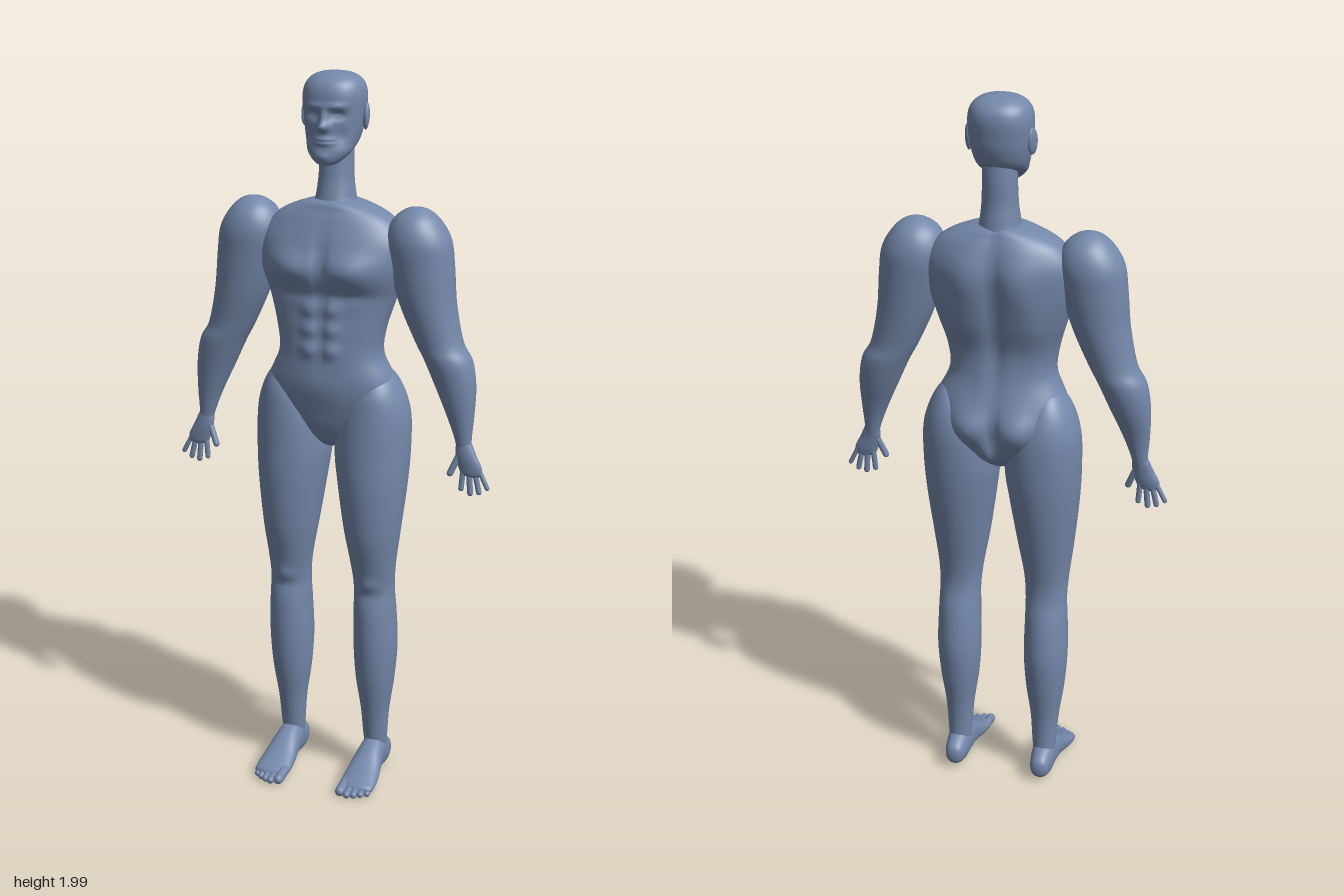
import * as THREE from 'three';

const skin = new THREE.MeshStandardMaterial({ color: 0x7488aa });
skin.name = 'slate blue';

const spow = (v, p) => Math.sign(v) * Math.pow(Math.abs(v), p);
const spline = (a, b, c, d, t) =>
  0.5 * (2 * b + (c - a) * t + (2 * a - 5 * b + 4 * c - d) * t * t + (3 * b - a - 3 * c + d) * t * t * t);

// Smooth closed loft through slices [y, xMin, xMax, zBack, zFront].
// bumps: [face (+1 front, -1 back), |x|, y, radiusX, radiusY, height]
function loft(slices, { side = 1, power = 1, bumps = [], segs = 48, steps = 6 } = {}) {
  const pos = [], idx = [], last = slices.length - 1, rows = last * steps;
  for (let i = 0; i <= rows; i++) {
    const k = Math.min(Math.floor(i / steps), last - 1), t = i / steps - k;
    const at = n => slices[Math.max(0, Math.min(last, n))];
    const [y, x0, x1, zb, zf] = slices[0].map((_, c) => spline(at(k - 1)[c], at(k)[c], at(k + 1)[c], at(k + 2)[c], t));
    const hw = Math.max(0.0003, (x1 - x0) / 2), hd = Math.max(0.0003, (zf - zb) / 2);
    for (let j = 0; j < segs; j++) {
      const a = j / segs * Math.PI * 2, s = Math.sin(a);
      const x = side * (x0 + x1) / 2 + hw * spow(Math.cos(a), power);
      let z = (zb + zf) / 2 + hd * spow(s, power);
      for (const [f, bx, by, rx, ry, h] of bumps)
        if (f * s > 0) z += f * h * Math.min(1, Math.abs(s) * 1.5) * Math.exp(-(((Math.abs(x) - bx) / rx) ** 2) - ((y - by) / ry) ** 2);
      pos.push(x, y, z);
      if (i < rows) {
        const p = i * segs + j, q = i * segs + (j + 1) % segs;
        idx.push(p, p + segs, q, q, p + segs, q + segs);
      }
    }
  }
  const g = new THREE.BufferGeometry();
  g.setAttribute('position', new THREE.Float32BufferAttribute(pos, 3));
  g.setIndex(idx);
  g.computeVertexNormals();
  return g;
}

// Slices of a part centred on x = 0: [y, halfWidth, zBack, zFront]
const centred = rows => rows.map(([y, w, b, f]) => [y, -w, w, b, f]);

function add(parent, name, geometry) {
  const m = new THREE.Mesh(geometry, skin);
  m.name = name;
  parent.add(m);
  return m;
}

// Rounded digit between two points
function digit(parent, name, a, b, r) {
  const A = new THREE.Vector3(...a), B = new THREE.Vector3(...b), d = B.clone().sub(A);
  const m = add(parent, name, new THREE.CapsuleGeometry(r, d.length(), 6, 12));
  m.position.copy(A).add(B).multiplyScalar(0.5);
  m.quaternion.setFromUnitVectors(new THREE.Vector3(0, 1, 0), d.normalize());
}

const torso = centred([
  [0.975, 0, -0.05, -0.045], [0.987, 0.03, -0.09, 0], [1.03, 0.09, -0.128, 0.035], [1.1, 0.16, -0.14, 0.055],
  [1.17, 0.178, -0.132, 0.065], [1.25, 0.146, -0.115, 0.066], [1.32, 0.152, -0.112, 0.062], [1.4, 0.175, -0.13, 0.058],
  [1.48, 0.2, -0.142, 0.07], [1.55, 0.205, -0.146, 0.06], [1.6, 0.18, -0.138, 0.042], [1.635, 0.135, -0.125, 0.026],
  [1.66, 0.06, -0.108, 0.01], [1.664, 0, -0.06, -0.05]]);
const torsoBumps = [
  // chest, breastbone, rib edge
  [1, 0.08, 1.49, 0.065, 0.045, 0.022], [1, 0, 1.5, 0.012, 0.09, -0.01], [1, 0.08, 1.42, 0.08, 0.018, -0.006],
  // abdominal rows and lower belly
  ...[1.38, 1.325, 1.27].map(y => [1, 0.032, y, 0.022, 0.021, 0.01]),
  [1, 0, 1.17, 0.06, 0.05, 0.006], [1, 0, 1.32, 0.008, 0.09, -0.005],
  // spine, shoulder blades, back wings
  [-1, 0, 1.42, 0.022, 0.2, -0.014], [-1, 0.07, 1.53, 0.055, 0.08, 0.016], [-1, 0.1, 1.41, 0.05, 0.09, 0.008],
  // buttocks and cleft
  [-1, 0.07, 1.11, 0.058, 0.055, 0.026], [-1, 0, 1.08, 0.014, 0.06, -0.02]];

const neck = centred([[1.6, 0.05, -0.1, -0.01], [1.64, 0.062, -0.112, 0.005], [1.67, 0.054, -0.11, 0],
  [1.72, 0.048, -0.104, -0.01], [1.78, 0.046, -0.104, -0.015], [1.83, 0.046, -0.1, -0.02]]);

const head = centred([
  [1.757, 0, 0.014, 0.02], [1.764, 0.028, -0.012, 0.038], [1.79, 0.056, -0.055, 0.042], [1.82, 0.069, -0.1, 0.038],
  [1.86, 0.078, -0.12, 0.034], [1.9, 0.083, -0.127, 0.034], [1.94, 0.084, -0.13, 0.034], [1.97, 0.074, -0.12, 0.022],
  [1.99, 0.047, -0.092, -0.006], [1.998, 0, -0.045, -0.042]]);
const headBumps = [
  // nose bridge and tip, brows, eye sockets
  [1, 0, 1.88, 0.011, 0.025, 0.014], [1, 0, 1.86, 0.015, 0.012, 0.02], [1, 0.03, 1.912, 0.03, 0.01, 0.006],
  [1, 0.034, 1.89, 0.018, 0.012, -0.012], [1, 0.034, 1.888, 0.01, 0.006, 0.004],
  // lips, mouth line, chin, cheeks
  [1, 0, 1.823, 0.024, 0.011, 0.009], [1, 0, 1.823, 0.024, 0.003, -0.005], [1, 0, 1.782, 0.02, 0.013, 0.006],
  [1, 0.045, 1.835, 0.018, 0.02, -0.006]];

const arm = [
  [1.0, 0.362, 0.404, -0.038, -0.012], [1.04, 0.353, 0.4, -0.046, -0.008], [1.1, 0.33, 0.404, -0.06, 0],
  [1.18, 0.294, 0.405, -0.085, 0.012], [1.25, 0.262, 0.393, -0.1, 0.022], [1.3, 0.235, 0.366, -0.1, 0.022],
  [1.4, 0.19, 0.345, -0.11, 0.032], [1.5, 0.16, 0.336, -0.12, 0.038], [1.57, 0.15, 0.326, -0.123, 0.04],
  [1.62, 0.168, 0.297, -0.105, 0.022], [1.648, 0.2, 0.265, -0.07, -0.012], [1.656, 0.232, 0.232, -0.041, -0.041]];

const palm = [[0.935, 0.405, 0.405, -0.022, -0.021], [0.943, 0.378, 0.43, -0.029, -0.012], [0.965, 0.366, 0.432, -0.034, -0.009],
  [0.995, 0.358, 0.417, -0.037, -0.008], [1.025, 0.358, 0.403, -0.041, -0.01], [1.05, 0.365, 0.39, -0.035, -0.015]];

// [base x, base y, tip x, tip y, radius]
const fingers = [[0.365, 0.99, 0.346, 0.944, 0.009], [0.38, 0.955, 0.376, 0.902, 0.0075], [0.397, 0.95, 0.402, 0.892, 0.008],
  [0.414, 0.95, 0.426, 0.897, 0.0075], [0.425, 0.958, 0.449, 0.911, 0.0065]];

const leg = [
  [0.04, 0.1, 0.155, -0.08, -0.02], [0.12, 0.092, 0.162, -0.077, -0.012], [0.2, 0.086, 0.168, -0.083, 0],
  [0.3, 0.072, 0.182, -0.1, 0.02], [0.4, 0.066, 0.189, -0.11, 0.03], [0.5, 0.067, 0.187, -0.1, 0.03],
  [0.58, 0.067, 0.184, -0.082, 0.02], [0.65, 0.06, 0.188, -0.085, 0.036], [0.75, 0.042, 0.2, -0.105, 0.058],
  [0.88, 0.022, 0.214, -0.13, 0.068], [0.98, 0.01, 0.22, -0.142, 0.065], [1.08, 0.02, 0.218, -0.143, 0.058],
  [1.15, 0.06, 0.198, -0.125, 0.045], [1.2, 0.1, 0.166, -0.09, 0.01], [1.22, 0.13, 0.13, -0.04, -0.04]];
const legBumps = [[1, 0.125, 0.595, 0.03, 0.022, 0.009], [1, 0.125, 0.565, 0.035, 0.012, -0.004]];

// Foot runs along z before being laid flat: [z, xMin, xMax, -top, -bottom]
const foot = [
  [-0.121, 0.128, 0.128, -0.051, -0.049], [-0.113, 0.106, 0.15, -0.076, -0.022], [-0.08, 0.096, 0.16, -0.096, -0.008],
  [-0.035, 0.092, 0.163, -0.113, -0.01], [0.01, 0.088, 0.168, -0.098, -0.014], [0.06, 0.081, 0.177, -0.066, -0.009],
  [0.105, 0.08, 0.18, -0.044, -0.004], [0.128, 0.09, 0.172, -0.034, -0.008], [0.138, 0.13, 0.13, -0.021, -0.019]];

// [x, tip z, radius]
const toes = [[0.094, 0.164, 0.014], [0.116, 0.167, 0.0105], [0.134, 0.161, 0.01], [0.151, 0.15, 0.0095], [0.167, 0.138, 0.009]];

export function createModel() {
  const model = new THREE.Group();
  model.name = 'figure';

  add(model, 'torso', loft(torso, { power: 0.85, bumps: torsoBumps, segs: 96, steps: 10 }));
  add(model, 'neck', loft(neck));
  add(model, 'head', loft(head, { power: 0.92, bumps: headBumps, segs: 96, steps: 12 }));

  for (const side of [1, -1]) {
    const tag = side > 0 ? 'left' : 'right';

    const ear = add(model, tag + 'Ear', new THREE.SphereGeometry(1, 20, 14));
    ear.scale.set(0.009, 0.036, 0.02);
    ear.position.set(side * 0.084, 1.882, -0.055);
    ear.rotation.set(-0.15, side * 0.3, 0);

    const armGroup = new THREE.Group();
    armGroup.name = tag + 'Arm';
    add(armGroup, 'arm', loft(arm, { side }));
    add(armGroup, 'palm', loft(palm, { side, segs: 32 }));
    fingers.forEach(([x, y, tx, ty, r], i) =>
      digit(armGroup, i ? 'finger' : 'thumb', [side * x, y, -0.022], [side * tx, ty, i ? -0.02 : -0.014], r));

    const legGroup = new THREE.Group();
    legGroup.name = tag + 'Leg';
    add(legGroup, 'leg', loft(leg, { side, bumps: legBumps }));
    add(legGroup, 'foot', loft(foot, { side, power: 0.9 }).rotateX(Math.PI / 2));
    for (const [x, z, r] of toes)
      digit(legGroup, 'toe', [side * x, r + 0.012, 0.105], [side * x, r + 0.004, z - r], r);

    model.add(armGroup, legGroup);
  }
  return model;
}
